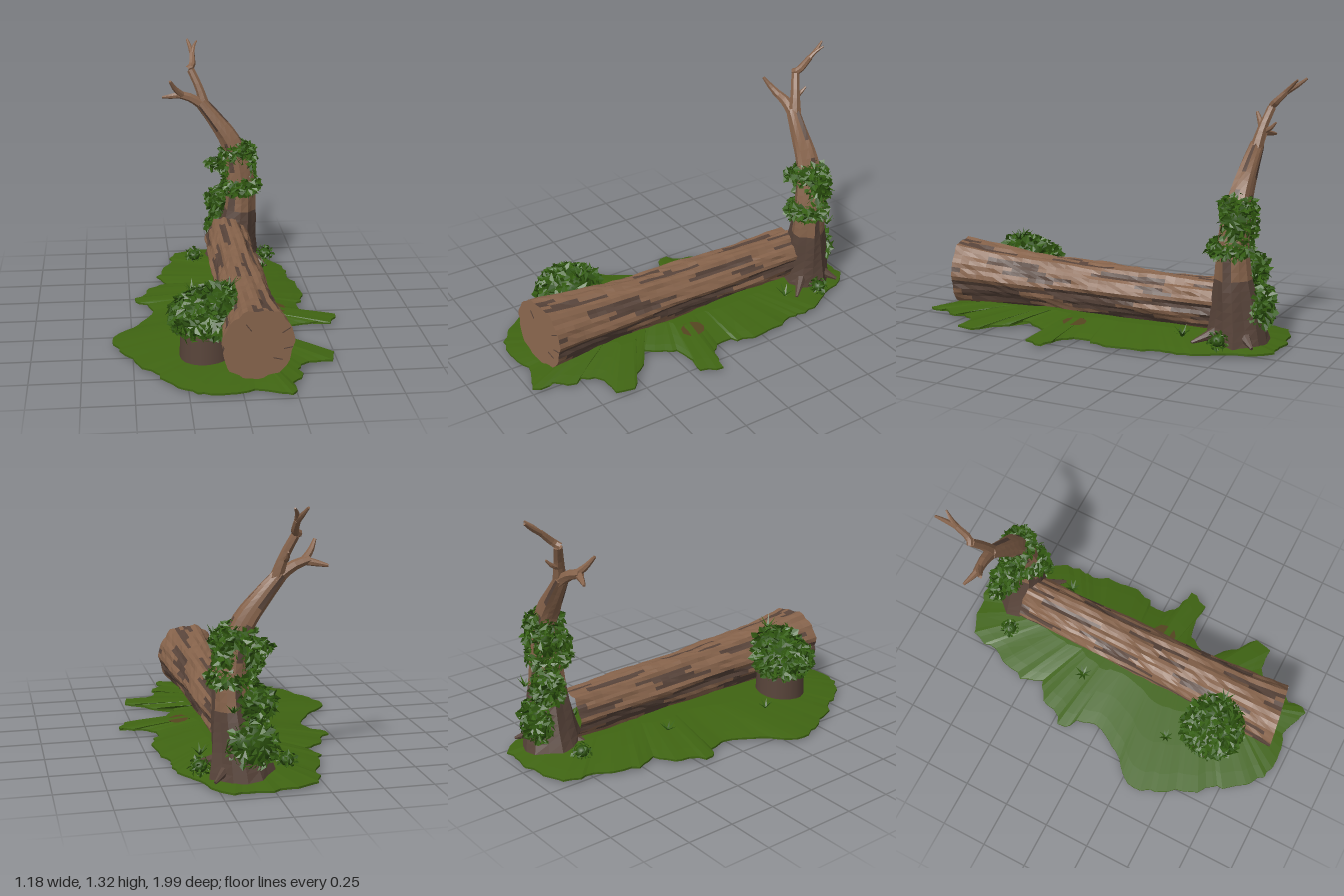
import * as THREE from 'three';

const V = (x, y, z) => new THREE.Vector3(x, y, z);
let seed = 7;
const rnd = () => (seed = (seed * 16807) % 2147483647) / 2147483647;
const spread = (a) => (rnd() * 2 - 1) * a;

const mat = (name, color, extra = {}) => {
  const m = new THREE.MeshStandardMaterial({ color, ...extra });
  m.name = name;
  return m;
};

// One flat-faced mesh from lists of triangle corners, one list per material
function facesMesh(name, lists, mats) {
  const geo = new THREE.BufferGeometry().setFromPoints(lists.flat());
  let start = 0;
  lists.forEach((list, i) => {
    geo.addGroup(start, list.length, i);
    start += list.length;
  });
  geo.computeVertexNormals();
  const mesh = new THREE.Mesh(geo, mats);
  mesh.name = name;
  return mesh;
}

// Skin over closed rings; pick chooses the material of each quad by its centre
function loft(name, rings, mats, pick = () => 0, capMat = -1) {
  const lists = mats.map(() => []);
  const n = rings[0].length;
  for (let i = 0; i < rings.length - 1; i++) {
    for (let j = 0; j < n; j++) {
      const k = (j + 1) % n;
      const a = rings[i][j], b = rings[i][k], c = rings[i + 1][k], d = rings[i + 1][j];
      lists[pick(a.clone().add(c).multiplyScalar(0.5), i, j)].push(a, b, c, a, c, d);
    }
  }
  if (capMat >= 0) {
    const last = rings[rings.length - 1];
    const mid = last.reduce((s, p) => s.add(p), V(0, 0, 0)).divideScalar(n);
    for (let j = 0; j < n; j++) lists[capMat].push(last[j], last[(j + 1) % n], mid);
  }
  return facesMesh(name, lists, mats);
}

// Tapered limb through [x, y, z, radius] points
function limb(name, pts, mats, { sides = 7, steps = 8, ridge = 0.08, pick } = {}) {
  const curve = new THREE.CatmullRomCurve3(pts.map((p) => V(p[0], p[1], p[2])));
  const frames = curve.computeFrenetFrames(steps);
  const rings = [];
  for (let i = 0; i <= steps; i++) {
    const u = i / steps, c = curve.getPointAt(u);
    const t = curve.getUtoTmapping(u) * (pts.length - 1);
    const k = Math.min(Math.floor(t), pts.length - 2);
    const r = THREE.MathUtils.lerp(pts[k][3], pts[k + 1][3], t - k);
    rings.push(Array.from({ length: sides }, (_, j) => {
      const a = (j / sides) * Math.PI * 2, q = r * (1 + ridge * Math.sin(j * 2.4 + i * 0.3));
      return c.clone().addScaledVector(frames.normals[i], q * Math.cos(a))
        .addScaledVector(frames.binormals[i], q * Math.sin(a));
    }));
  }
  return loft(name, rings, mats, pick, 0);
}

// Leafy clump: a solid core covered in folded pointed leaves
function clump(name, [x, y, z, rx, ry, rz, count, size], mats, coreMat) {
  const group = new THREE.Group();
  group.name = name;
  const core = new THREE.Mesh(new THREE.IcosahedronGeometry(1, 2), coreMat);
  core.name = 'leafCore';
  core.scale.set(rx, ry, rz);
  core.position.set(x, y, z);
  const lists = [[], []];
  for (let i = 0; i < count; i++) {
    const h = 1 - (2 * (i + 0.5)) / count, a = i * 2.39996, q = Math.sqrt(1 - h * h);
    const n = V(q * Math.cos(a), h, q * Math.sin(a));
    const p = V(x + n.x * rx, y + n.y * ry, z + n.z * rz);
    const d = n.clone().multiplyScalar(0.45).add(V(spread(0.8), spread(0.6) - 0.2, spread(0.8))).normalize();
    const w = d.clone().cross(n).normalize();
    const s = size * (0.65 + rnd() * 0.6);
    p.addScaledVector(d, -s * 0.35).addScaledVector(n, 0.008);
    const mid = p.clone().addScaledVector(d, s * 0.45).addScaledVector(n, s * 0.2);
    const tip = p.clone().addScaledVector(d, s);
    const l = mid.clone().addScaledVector(w, s * 0.32), r = mid.clone().addScaledVector(w, -s * 0.32);
    lists[i % 3 === 0 ? 1 : 0].push(p, l, tip, p, tip, r);
  }
  group.add(core, facesMesh('leaves', lists, mats));
  return group;
}

export function createModel() {
  seed = 7;
  const model = new THREE.Group();
  const bark = mat('bark', 0x86634b);
  const darkBark = mat('dark bark', 0x58443a);
  const cutWood = mat('cut wood', 0x8c684f);
  const moss = mat('moss', 0x3f6412);
  const soil = mat('soil', 0x54451f, { side: THREE.DoubleSide });
  const leaf = mat('leaf', 0x355f12, { side: THREE.DoubleSide });
  const deepLeaf = mat('deep leaf', 0x2b500e, { side: THREE.DoubleSide });

  // Mossy ground: ragged outline drawn in towards a raised spine
  const outline = [[-0.1, -0.95], [0.2, -0.96], [0.27, -0.9], [0.3, -0.8], [0.36, -0.7], [0.4, -0.6],
    [0.42, -0.4], [0.46, -0.2], [0.42, -0.1], [0.4, 0.02], [0.5, 0.08], [0.6, 0.12], [0.53, 0.2],
    [0.36, 0.2], [0.3, 0.3], [0.23, 0.4], [0.33, 0.42], [0.4, 0.5], [0.48, 0.57], [0.45, 0.65],
    [0.33, 0.67], [0.28, 0.75], [0.3, 0.82], [0.21, 0.88], [0.26, 0.96], [0.2, 0.99], [0.13, 0.94],
    [-0.13, 0.95], [-0.28, 0.9], [-0.35, 0.8], [-0.42, 0.68], [-0.5, 0.58], [-0.55, 0.45], [-0.6, 0.35],
    [-0.59, 0.27], [-0.52, 0.2], [-0.42, 0.08], [-0.38, 0], [-0.4, -0.1], [-0.47, -0.17], [-0.42, -0.28],
    [-0.37, -0.36], [-0.3, -0.42], [-0.33, -0.5], [-0.3, -0.65], [-0.25, -0.75], [-0.24, -0.85], [-0.18, -0.92]];
  const edge = new THREE.CatmullRomCurve3(outline.reverse().map(([x, z]) => V(x, 0, z)), true)
    .getSpacedPoints(150).slice(0, 150);
  edge.forEach((p) => p.add(V(spread(0.014), 0, spread(0.014))));
  const groundRing = (s, y) => edge.map((p) =>
    V(0.08 + (p.x - 0.08) * s, y - (s < 0.9 ? 0.014 * Math.max(0, p.z) * (1 - s) : 0), p.z * (0.6 + 0.4 * s)));
  model.add(loft('ground', [groundRing(0, 0.008), groundRing(1, 0.006), groundRing(1, 0.016),
    groundRing(0.85, 0.028), groundRing(0.6, 0.045), groundRing(0.3, 0.064), groundRing(0, 0.068)], [moss]));

  // Bare soil patch
  const patch = new THREE.Mesh(new THREE.CircleGeometry(0.06, 9), soil);
  patch.name = 'soilPatch';
  patch.scale.set(0.9, 1.1, 1);
  patch.position.set(0.27, 0.057, 0.08);
  patch.rotation.set(-Math.PI / 2, 0.12, 0);
  model.add(patch);

  // Fallen log with grooved bark, flared towards the cut end
  const sides = 44, steps = 30;
  const groove = (a, z) => Math.sin(a * 7 + Math.sin(z * 3) * 1.2) + Math.sin(a * 13 + z * 2.1) + Math.sin(a * 4 - z * 9);
  const logRings = [];
  for (let i = 0; i <= steps; i++) {
    const u = i / steps, z0 = -0.68 + u * 1.55;
    const r0 = 0.122 + 0.018 * u + 0.034 * u ** 5;
    logRings.push(Array.from({ length: sides }, (_, j) => {
      const a = (j / sides) * Math.PI * 2;
      const r = r0 + 0.0045 * groove(a, z0) + spread(0.003);
      const x = 0.077 + Math.cos(a) * r;
      return V(x, 0.19 + 0.02 * u * u + Math.sin(a) * r, z0 - 0.16 * (x - 0.08) * u);
    }));
  }
  model.add(loft('fallenLog', logRings, [bark, darkBark, cutWood], (p, i, j) => {
    const a = ((j + 0.5) / sides) * Math.PI * 2;
    return groove(a, p.z) < -0.15 - 1.0 * Math.sin(a) ? 1 : 0;
  }, 2));

  // Cracks in the cut end
  [[0.21, 0.27, 0.5], [0.17, 0.13, -0.3], [0.03, 0.3, 2.2], [0.22, 0.18, 0.1]].forEach(([x, y, a]) => {
    const crack = new THREE.Mesh(new THREE.BoxGeometry(0.045, 0.004, 0.006), darkBark);
    crack.name = 'crack';
    crack.position.set(x, y, 0.87 - 0.16 * (x - 0.08));
    crack.rotation.set(0, 0.16, a);
    model.add(crack);
  });

  // Standing dead trunk and its forked branches
  model.add(limb('trunk', [[0.12, 0.03, -0.75, 0.155], [0.135, 0.15, -0.75, 0.125], [0.16, 0.36, -0.74, 0.09],
    [0.16, 0.55, -0.74, 0.077], [0.115, 0.74, -0.75, 0.06], [0.02, 0.88, -0.76, 0.045], [-0.06, 0.98, -0.77, 0.034]],
  [bark, darkBark], { sides: 14, steps: 22, pick: (p, i, j) => (p.y < 0.36 || (j % 5 === 0 && i % 6 < 4) ? 1 : 0) }));
  const branches = [
    [[-0.03, 0.95, -0.77, 0.034], [-0.12, 1.01, -0.765, 0.026], [-0.2, 1.035, -0.755, 0.021]],
    [[-0.18, 1.03, -0.755, 0.02], [-0.23, 1.02, -0.77, 0.015], [-0.28, 1.01, -0.79, 0.007]],
    [[-0.17, 1.03, -0.755, 0.02], [-0.21, 1.07, -0.73, 0.016], [-0.24, 1.12, -0.7, 0.008]],
    [[-0.04, 0.96, -0.77, 0.033], [-0.07, 1.06, -0.79, 0.024], [-0.115, 1.16, -0.82, 0.021]],
    [[-0.135, 1.165, -0.815, 0.016], [-0.11, 1.175, -0.83, 0.02], [-0.1, 1.24, -0.9, 0.015]],
    [[-0.1, 1.23, -0.89, 0.014], [-0.11, 1.27, -0.95, 0.011], [-0.123, 1.305, -0.995, 0.006]],
    [[-0.1, 1.23, -0.89, 0.013], [-0.09, 1.27, -0.93, 0.01], [-0.07, 1.3, -0.965, 0.005]],
    [[-0.07, 1.04, -0.785, 0.016], [-0.075, 1.06, -0.83, 0.011], [-0.07, 1.09, -0.86, 0.005]],
  ];
  branches.forEach((pts) => model.add(limb('branch', pts, [bark], { steps: 5 })));

  // Roots at the foot of the trunk
  [[0.3, -0.58], [0.27, -0.88], [-0.03, -0.62]].forEach(([x, z]) => model.add(limb('root',
    [[0.13, 0.13, -0.74, 0.04], [(x + 0.14) / 2, 0.08, (z - 0.75) / 2, 0.03], [x, 0.04, z, 0.008]], [darkBark], { steps: 5 })));

  // Old stump beside the log
  const stump = new THREE.Mesh(new THREE.CylinderGeometry(0.13, 0.135, 0.14, 20), darkBark);
  stump.name = 'stump';
  stump.position.set(-0.14, 0.1, 0.58);
  model.add(stump);

  // Foliage: x, y, z, three radii, leaf count, leaf size
  const clumps = {
    stumpBush: [-0.16, 0.245, 0.58, 0.145, 0.1, 0.15, 460, 0.055],
    stumpBushTop: [-0.1, 0.31, 0.58, 0.095, 0.075, 0.12, 200, 0.055],
    trunkBackIvy: [0.09, 0.2, -0.86, 0.1, 0.1, 0.045, 170, 0.05],
    trunkSideIvy: [0.06, 0.38, -0.8, 0.075, 0.075, 0.06, 170, 0.05],
    trunkMiddleIvy: [0.165, 0.49, -0.725, 0.095, 0.045, 0.1, 190, 0.05],
    trunkRightIvy: [0.205, 0.62, -0.76, 0.035, 0.1, 0.055, 120, 0.05],
    trunkLeftIvy: [0.09, 0.6, -0.77, 0.03, 0.08, 0.05, 90, 0.05],
    trunkTopIvy: [0.145, 0.69, -0.75, 0.08, 0.055, 0.075, 170, 0.05],
    hangingTuft: [0.02, 0.63, -0.73, 0.04, 0.02, 0.025, 40, 0.05],
    groundTuftRight: [0.31, 0.07, -0.72, 0.035, 0.03, 0.035, 40, 0.03],
    groundTuftLeft: [-0.11, 0.07, -0.72, 0.035, 0.03, 0.035, 40, 0.03],
  };
  for (const [name, spec] of Object.entries(clumps)) model.add(clump(name, spec, [leaf, deepLeaf], deepLeaf));

  // Upright sprigs and grass blades: x, y, z, length
  const blades = [[], []];
  [[-0.03, 0.38, 0.58, 0.07], [-0.12, 0.37, 0.6, 0.06], [-0.16, 0.05, -0.22, 0.06], [0.27, 0.055, -0.52, 0.06],
    [-0.27, 0.045, 0.36, 0.05], [0.18, 0.36, -0.86, 0.05]].forEach(([x, y, z, len]) => {
    for (let i = 0; i < 8; i++) {
      const a = i * 0.8, p = V(x, y, z), w = V(Math.sin(a) * 0.009, 0, -Math.cos(a) * 0.009);
      const tip = V(x + Math.cos(a) * len * 0.8, y + len * (0.4 + rnd() * 0.6), z + Math.sin(a) * len * 0.8);
      blades[i % 2].push(p.clone().add(w), p.clone().sub(w), tip);
    }
  });
  model.add(facesMesh('grassBlades', blades, [leaf, deepLeaf]));
  return model;
}
